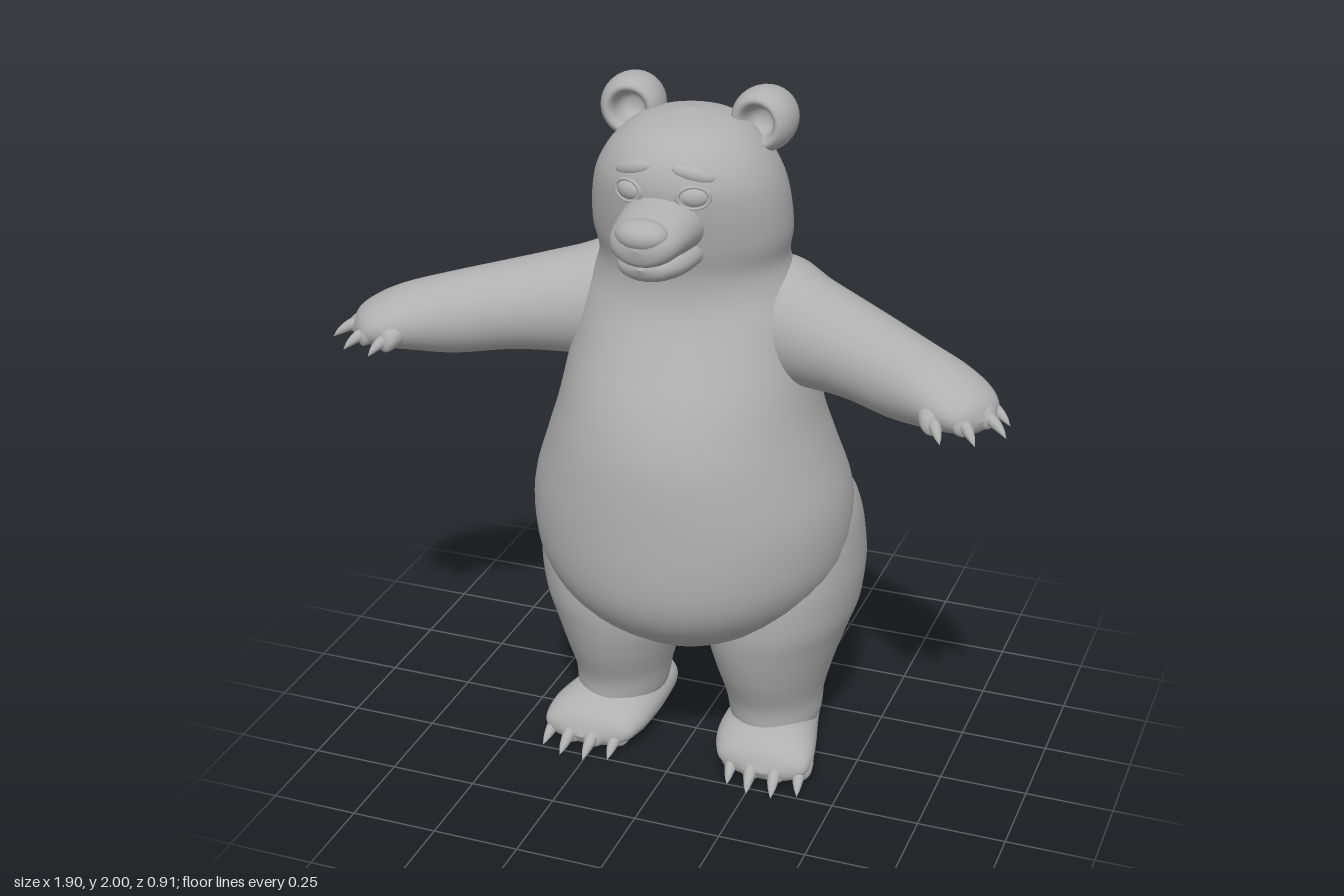
import * as THREE from 'three';

const fur = new THREE.MeshStandardMaterial({ color: 0xb0b0b0 });
fur.name = 'grey fur';

const X = [1, 0, 0], Y = [0, 1, 0], Z = [0, 0, 1];

function add(parent, name, geometry) {
  const mesh = new THREE.Mesh(geometry, fur);
  mesh.name = name;
  parent.add(mesh);
  return mesh;
}

// Smooth skin through elliptical sections [x, y, z, radius along u, radius along v]
function loft(sections, u, v, sides = 32, steps = 5) {
  const U = new THREE.Vector3(...u), V = new THREE.Vector3(...v);
  const centres = sections.map(s => new THREE.Vector3(s[0], s[1], s[2]));
  const radii = sections.map(s => new THREE.Vector3(s[3], s[4], 0));
  const rows = (sections.length - 1) * steps;
  const blend = (list, t) => {
    const i = Math.min(Math.floor(t), list.length - 2), f = t - i;
    const p = k => list[Math.min(Math.max(i + k, 0), list.length - 1)];
    const mix = c => {
      const m0 = (p(1)[c] - p(-1)[c]) / 2, m1 = (p(2)[c] - p(0)[c]) / 2, d = p(1)[c] - p(0)[c];
      return p(0)[c] + f * (m0 + f * (3 * d - 2 * m0 - m1 + f * (m0 + m1 - 2 * d)));
    };
    return new THREE.Vector3(mix('x'), mix('y'), mix('z'));
  };
  const pos = [], idx = [];
  for (let i = 0; i <= rows; i++) {
    const c = blend(centres, i / steps), r = blend(radii, i / steps);
    for (let j = 0; j < sides; j++) {
      const a = j / sides * Math.PI * 2;
      const q = c.clone()
        .addScaledVector(U, Math.cos(a) * Math.max(r.x, 0.001))
        .addScaledVector(V, Math.sin(a) * Math.max(r.y, 0.001));
      pos.push(q.x, q.y, q.z);
    }
  }
  const along = centres[centres.length - 1].clone().sub(centres[0]);
  const flip = U.clone().cross(V).dot(along) < 0;
  const tri = (a, b, c) => flip ? idx.push(a, c, b) : idx.push(a, b, c);
  for (let i = 0; i < rows; i++) {
    for (let j = 0; j < sides; j++) {
      const k = (j + 1) % sides, a = i * sides + j, b = i * sides + k;
      tri(a, b, b + sides);
      tri(a, b + sides, a + sides);
    }
  }
  // end caps
  for (let j = 1; j < sides - 1; j++) {
    tri(0, j + 1, j);
    tri(rows * sides, rows * sides + j, rows * sides + j + 1);
  }
  const g = new THREE.BufferGeometry();
  g.setAttribute('position', new THREE.Float32BufferAttribute(pos, 3));
  g.setIndex(idx);
  g.computeVertexNormals();
  return g;
}

function ellipsoid(parent, name, p, r) {
  const mesh = add(parent, name, new THREE.SphereGeometry(1, 28, 18));
  mesh.position.set(...p);
  mesh.scale.set(...r);
  return mesh;
}

// Rounded finger or toe ending in a claw that curves down
function digit(parent, name, base, tip, r) {
  const A = new THREE.Vector3(...base), B = new THREE.Vector3(...tip);
  const dir = B.clone().sub(A).setY(0).normalize();
  const u = [dir.z, 0, -dir.x];
  const at = (t, lift, a, b) => {
    const p = A.clone().lerp(B, t);
    return [p.x, p.y + lift, p.z, a, b];
  };
  add(parent, name, loft([
    at(-0.1, 0, 0, 0), at(0, 0, r * 0.8, r * 0.8), at(0.3, 0.006, r, r),
    at(0.52, 0.006, r * 0.8, r * 0.8), at(0.62, 0.004, 0, 0)], u, Y, 14, 4));
  add(parent, name + 'Claw', loft([
    at(0.4, 0.006, r * 0.5, r * 0.5), at(0.65, 0.012, r * 0.45, r * 0.5),
    at(0.88, 0.008, r * 0.25, r * 0.3), at(1, 0, 0, 0)], u, Y, 10, 4));
}

function buildLimbs(bear, s, side) {
  const mirror = list => list.map(([x, ...rest]) => [x * s, ...rest]);

  // Arm and hand, reaching outward and forward
  const arm = new THREE.Group();
  arm.name = side + 'Arm';
  bear.add(arm);
  add(arm, 'armAndHand', loft(mirror([
    [0.08, 1.35, -0.09, 0.1, 0.1], [0.2, 1.35, -0.04, 0.165, 0.178],
    [0.33, 1.345, 0.02, 0.148, 0.153], [0.5, 1.337, 0.1, 0.13, 0.125],
    [0.65, 1.322, 0.18, 0.118, 0.112], [0.76, 1.318, 0.24, 0.115, 0.09],
    [0.83, 1.31, 0.278, 0.105, 0.066], [0.875, 1.3, 0.303, 0.07, 0.042],
    [0.893, 1.295, 0.312, 0, 0]]), [-0.5 * s, 0, 0.866], Y));
  const fingers = [
    [[0.83, 1.318, 0.21], [0.945, 1.268, 0.262]], [[0.84, 1.313, 0.26], [0.95, 1.262, 0.325]],
    [[0.81, 1.308, 0.31], [0.885, 1.258, 0.39]], [[0.745, 1.305, 0.325], [0.8, 1.258, 0.41]]];
  fingers.forEach(([a, b], i) => {
    digit(arm, 'finger' + (i + 1), [a[0] * s, a[1], a[2]], [b[0] * s, b[1], b[2]], 0.034);
  });

  // Leg from hip to ankle
  const leg = new THREE.Group();
  leg.name = side + 'Leg';
  bear.add(leg);
  add(leg, 'thighAndShin', loft(mirror([
    [0.22, 0.98, -0.03, 0.06, 0.08], [0.24, 0.84, -0.05, 0.195, 0.22],
    [0.255, 0.65, -0.06, 0.218, 0.29], [0.25, 0.5, -0.058, 0.215, 0.297],
    [0.236, 0.4, -0.045, 0.198, 0.268], [0.234, 0.3, -0.033, 0.168, 0.225],
    [0.236, 0.2, -0.03, 0.14, 0.18], [0.24, 0.12, -0.03, 0.128, 0.168],
    [0.24, 0.06, -0.03, 0.1, 0.13]]), X, Z));

  // Foot with a flattened, slightly tilted sole
  const foot = loft(mirror([
    [0.22, 0.085, -0.213, 0, 0], [0.222, 0.085, -0.2, 0.06, 0.035],
    [0.225, 0.085, -0.15, 0.11, 0.065], [0.235, 0.085, -0.03, 0.133, 0.078],
    [0.25, 0.084, 0.08, 0.147, 0.078], [0.262, 0.075, 0.15, 0.146, 0.068],
    [0.272, 0.06, 0.205, 0.118, 0.045], [0.278, 0.05, 0.23, 0, 0]]), X, Y);
  const p = foot.attributes.position;
  for (let i = 0; i < p.count; i++) {
    p.setY(i, Math.max(p.getY(i), 0.03 - 0.07 * p.getZ(i)));
  }
  foot.computeVertexNormals();
  add(leg, 'foot', foot);
  const toes = [[0.175, 0.185, 0.252], [0.238, 0.252, 0.278], [0.305, 0.325, 0.276], [0.362, 0.392, 0.242]];
  toes.forEach(([x0, x1, z], i) => {
    digit(leg, 'toe' + (i + 1), [x0 * s, 0.08, z - 0.13], [x1 * s, 0.006, z], 0.04);
  });
}

function buildFaceSide(head, s, side) {
  // Cupped ear
  const profile = [[0, -0.098], [0.045, -0.088], [0.075, -0.055], [0.087, -0.01], [0.084, 0.03],
    [0.07, 0.057], [0.056, 0.06], [0.045, 0.045], [0.036, 0.01], [0.02, -0.008], [0, -0.012]];
  const curve = new THREE.SplineCurve(profile.map(q => new THREE.Vector2(...q)));
  const points = curve.getPoints(40).map(q => q.setX(Math.max(q.x, 0)));
  const cup = new THREE.LatheGeometry(points, 32);
  cup.rotateX(Math.PI / 2);
  const ear = add(head, side + 'Ear', cup);
  ear.position.set(0.185 * s, 1.914, -0.018);
  ear.rotation.y = -0.1 * s;

  // Eye, eyelid rim and brow ridge
  const eye = ellipsoid(head, side + 'Eye', [0.09 * s, 1.775, 0.258], [0.04, 0.027, 0.02]);
  eye.rotation.y = 0.35 * s;
  const lid = add(head, side + 'Eyelid', new THREE.TorusGeometry(0.042, 0.006, 10, 32));
  lid.position.set(0.09 * s, 1.775, 0.266);
  lid.rotation.y = 0.35 * s;
  lid.scale.y = 0.7;
  const brow = ellipsoid(head, side + 'Brow', [0.083 * s, 1.832, 0.245], [0.06, 0.022, 0.02]);
  brow.rotation.set(-0.3, 0.35 * s, -0.15 * s);
}

export function createModel() {
  const bear = new THREE.Group();
  bear.name = 'bear';

  // Torso, neck and skull in one skin
  add(bear, 'bodyAndHead', loft([
    [0, 0.368, -0.04, 0, 0], [0, 0.4, -0.02, 0.16, 0.2], [0, 0.45, -0.008, 0.26, 0.285],
    [0, 0.52, 0.005, 0.345, 0.362], [0, 0.6, 0.015, 0.41, 0.405], [0, 0.7, 0.015, 0.45, 0.425],
    [0, 0.85, 0.022, 0.452, 0.418], [0, 1.0, 0.037, 0.405, 0.393], [0, 1.1, 0.042, 0.372, 0.367],
    [0, 1.2, 0.035, 0.35, 0.335], [0, 1.3, 0.012, 0.335, 0.303], [0, 1.4, -0.007, 0.32, 0.268],
    [0, 1.47, -0.005, 0.287, 0.245], [0, 1.54, 0.012, 0.262, 0.228], [0, 1.62, 0.025, 0.274, 0.235],
    [0, 1.72, 0.04, 0.267, 0.24], [0, 1.8, 0.052, 0.243, 0.232], [0, 1.87, 0.055, 0.195, 0.195],
    [0, 1.92, 0.045, 0.125, 0.125], [0, 1.942, 0.04, 0, 0]], X, Z, 48, 4));

  // Muzzle, jaw and nose
  const head = new THREE.Group();
  head.name = 'face';
  bear.add(head);
  add(head, 'muzzle', loft([
    [0, 1.69, 0.18, 0.12, 0.09], [0, 1.69, 0.27, 0.112, 0.082], [0, 1.688, 0.34, 0.104, 0.068],
    [0, 1.682, 0.4, 0.09, 0.058], [0, 1.68, 0.432, 0.06, 0.042], [0, 1.68, 0.445, 0, 0]], X, Y));
  add(head, 'lowerJaw', loft([
    [0, 1.615, 0.18, 0.11, 0.06], [0, 1.612, 0.28, 0.104, 0.053], [0, 1.613, 0.35, 0.09, 0.045],
    [0, 1.617, 0.4, 0.06, 0.032], [0, 1.62, 0.42, 0, 0]], X, Y));
  ellipsoid(head, 'nose', [0, 1.71, 0.4], [0.072, 0.042, 0.051]);

  // Mirrored parts
  for (const [s, side] of [[1, 'left'], [-1, 'right']]) {
    buildLimbs(bear, s, side);
    buildFaceSide(head, s, side);
  }

  // Tail
  ellipsoid(bear, 'tail', [0, 0.607, -0.4], [0.078, 0.078, 0.055]);
  return bear;
}
